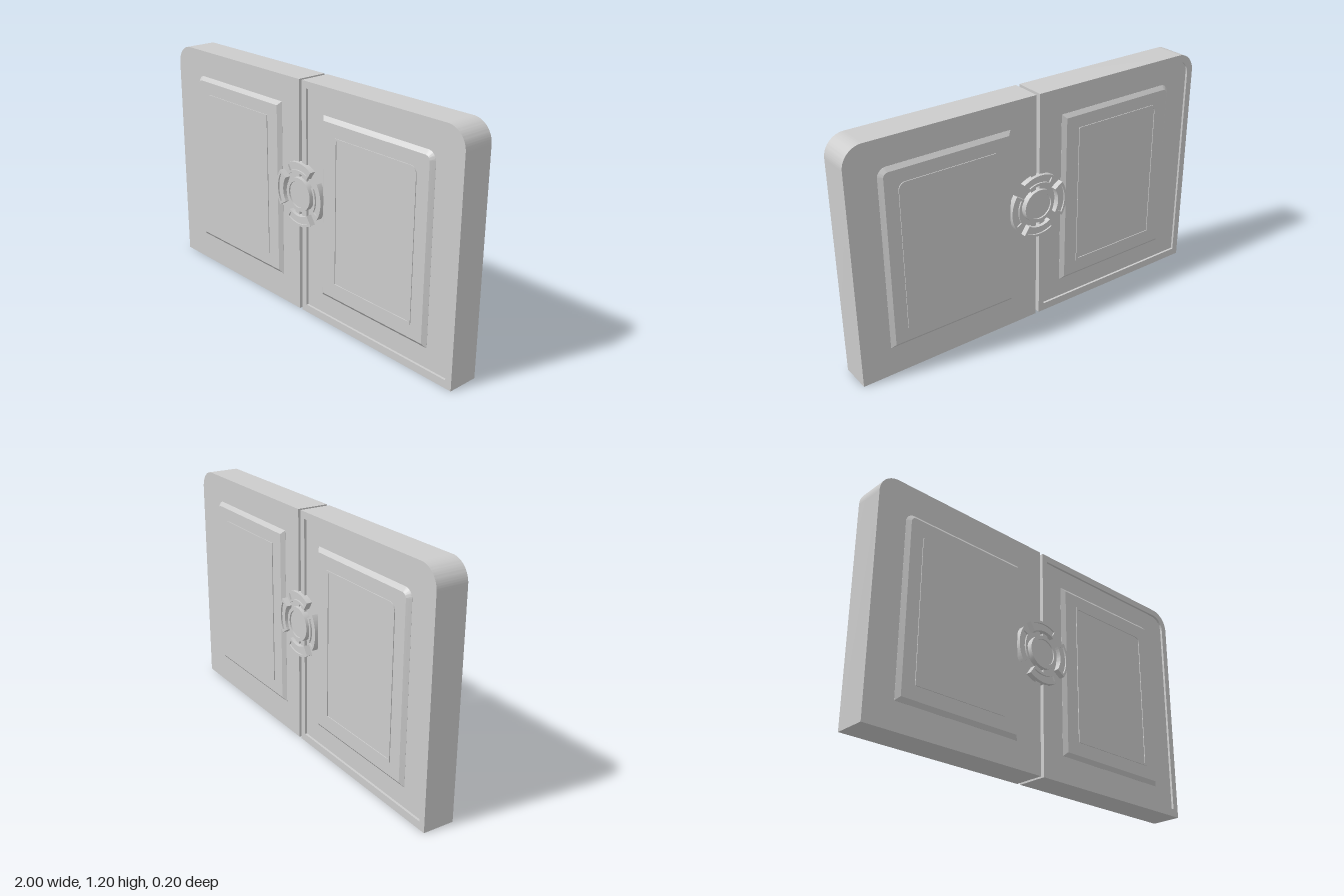
import * as THREE from 'three';
import { toCreasedNormals } from 'three/addons/utils/BufferGeometryUtils.js';

const material = new THREE.MeshStandardMaterial({ color: 0xcccccc });
const FIELD = 0.068; // recessed door surface
const HUB_Y = 0.63;

// Rectangle whose top outer corner is rounded; s = 1 or -1 picks the door side.
function outline(s, x0, x1, y0, y1, r, Type = THREE.Shape) {
  const p = new Type();
  p.moveTo(s * x0, y0);
  p.lineTo(s * x1, y0);
  p.lineTo(s * x1, y1 - r);
  p.absarc(s * (x1 - r), y1 - r, r, s > 0 ? 0 : Math.PI, Math.PI / 2, s < 0);
  p.lineTo(s * x0, y1);
  p.closePath();
  return p;
}

function sector(r0, r1, mid, half, Type = THREE.Shape) {
  const p = new Type();
  p.absarc(0, 0, r1, mid - half, mid + half, false);
  p.absarc(0, 0, r0, mid + half, mid - half, true);
  p.closePath();
  return p;
}

function circle(r, Type = THREE.Shape) {
  return new Type().absarc(0, 0, r, 0, Math.PI * 2, false);
}

function extrude(name, shape, z0, z1, bevel = {}) {
  const geometry = new THREE.ExtrudeGeometry(shape, {
    depth: z1 - z0, curveSegments: 16, bevelEnabled: false, ...bevel,
  });
  geometry.translate(0, 0, z0);
  const mesh = new THREE.Mesh(toCreasedNormals(geometry, 0.5), material);
  mesh.name = name;
  return mesh;
}

function withHole(shape, hole) {
  shape.holes.push(hole);
  return shape;
}

// Border, bevelled panel and raised moulding of one door face
function doorFace(s) {
  const face = new THREE.Group();
  face.name = s > 0 ? 'leftDoorFace' : 'rightDoorFace';
  face.add(extrude('border', withHole(
    outline(s, 0.01, 1, 0, 1.2, 0.1),
    outline(s, 0.042, 0.966, 0.04, 1.165, 0.07, THREE.Path)), FIELD, 0.08));
  face.add(extrude('bevelledPanel', outline(s, 0.17, 0.82, 0.16, 1.04, 0.025), FIELD, FIELD + 0.0005,
    { bevelEnabled: true, bevelThickness: 0.0165, bevelSize: 0.02, bevelSegments: 1 }));
  face.add(extrude('moulding', withHole(
    outline(s, 0.245, 0.752, 0.228, 0.975, 0.035),
    outline(s, 0.257, 0.74, 0.24, 0.963, 0.025, THREE.Path)), 0.08, 0.089));
  return face;
}

// Round centre plate with four curved segments around it
function hub() {
  const group = new THREE.Group();
  group.name = 'hub';
  group.add(extrude('hubPlate', circle(0.08), 0.06, 0.09));
  group.add(extrude('hubRim', withHole(circle(0.086), circle(0.068, THREE.Path)), 0.06, 0.0975));
  for (let i = 0; i < 4; i++) {
    const mid = i * Math.PI / 2;
    group.add(extrude('segmentBase', sector(0.116, 0.16, mid, 0.55), 0.06, 0.09));
    group.add(extrude('segmentRim', withHole(
      sector(0.112, 0.164, mid, 0.59),
      sector(0.124, 0.152, mid, 0.5, THREE.Path)), 0.06, 0.098));
  }
  group.position.y = HUB_Y;
  return group;
}

function side(name) {
  const group = new THREE.Group();
  group.name = name;
  group.add(doorFace(1), doorFace(-1), hub());
  return group;
}

export function createModel() {
  const model = new THREE.Group();
  model.name = 'doubleDoor';
  for (const s of [1, -1]) {
    model.add(extrude(s > 0 ? 'leftDoorSlab' : 'rightDoorSlab',
      outline(s, 0.01, 1, 0, 1.2, 0.1), -FIELD, FIELD));
  }
  const back = side('backSide');
  back.rotation.y = Math.PI;
  model.add(side('frontSide'), back);
  return model;
}
